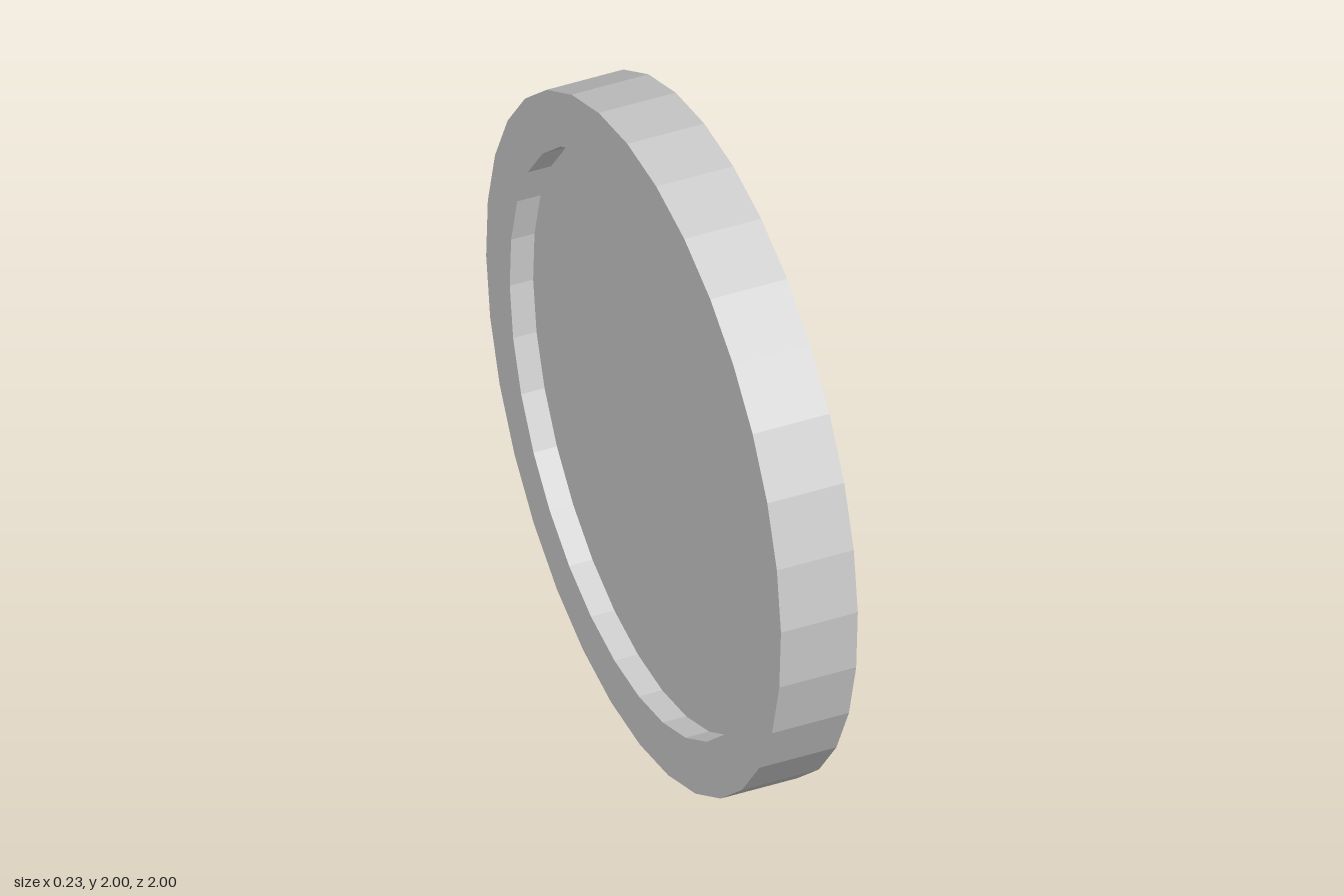
import * as THREE from 'three';

const SIDES = 32;
const OUTER = 1.0;
const INNER = 0.84;
const HALF_WIDTH = 0.115;
const HALF_PANEL = 0.045;
const START = THREE.MathUtils.degToRad(-2.4);

export function createModel() {
  const group = new THREE.Group();
  group.name = 'disc';
  const material = new THREE.MeshStandardMaterial({ color: 0xcccccc, flatShading: true });

  const add = (name, geometry) => {
    // turn the axis from y to x and stand the disc on the ground
    geometry.rotateZ(-Math.PI / 2);
    const mesh = new THREE.Mesh(geometry, material);
    mesh.name = name;
    mesh.position.y = OUTER;
    group.add(mesh);
  };

  // raised rim: recess wall, side face, tread, side face, recess wall
  const profile = [
    [INNER, -HALF_PANEL],
    [INNER, -HALF_WIDTH],
    [OUTER, -HALF_WIDTH],
    [OUTER, HALF_WIDTH],
    [INNER, HALF_WIDTH],
    [INNER, HALF_PANEL],
  ].map(([r, h]) => new THREE.Vector2(r, h));
  add('rim', new THREE.LatheGeometry(profile, SIDES, START).toNonIndexed());

  // flat panel recessed on both sides
  add('recessedPanel', new THREE.CylinderGeometry(
    INNER, INNER, HALF_PANEL * 2, SIDES, 1, false, START).toNonIndexed());

  return group;
}
